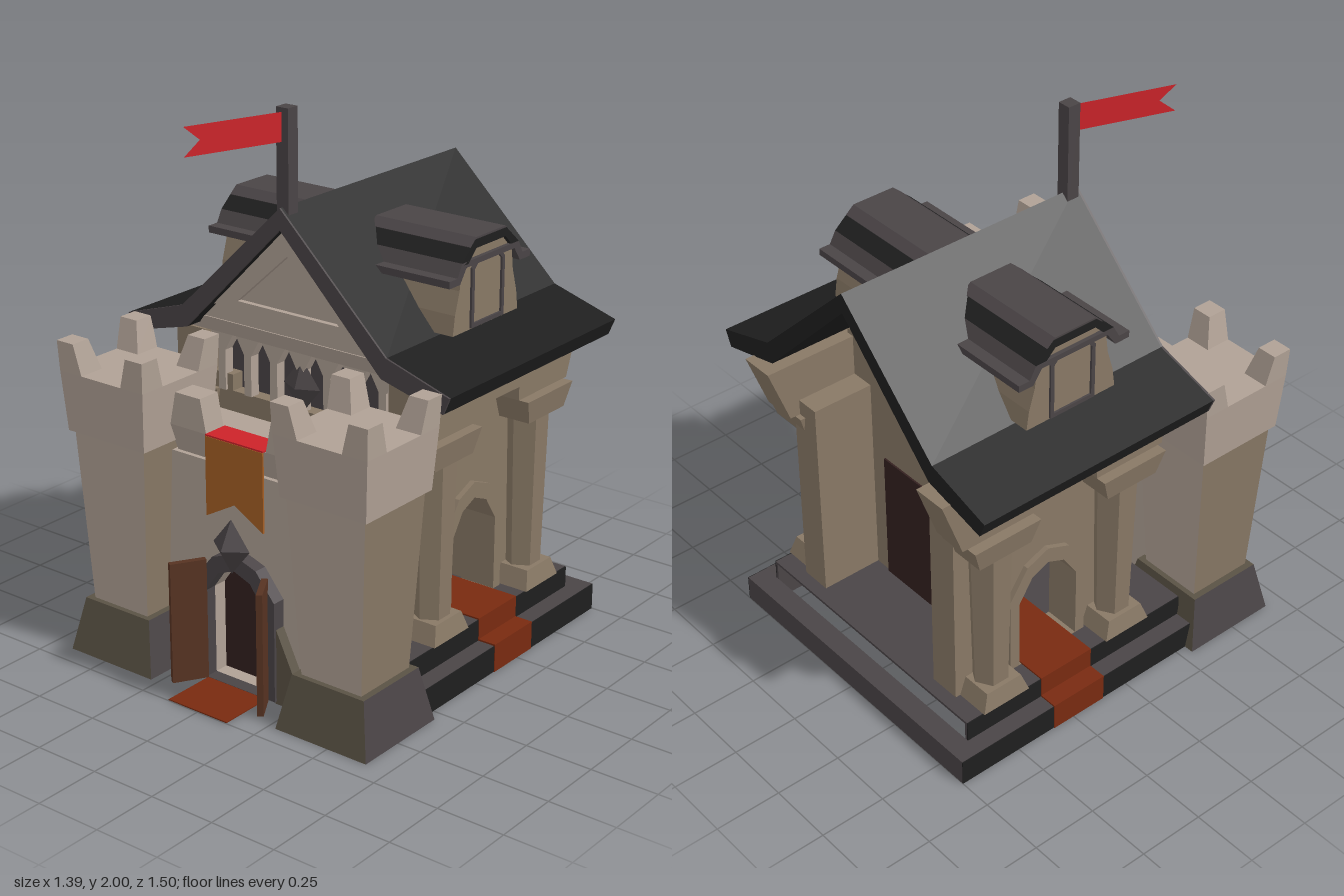
import * as THREE from 'three';

const mat = (name, color) => {
  const m = new THREE.MeshStandardMaterial({ color });
  m.name = name;
  return m;
};

export function createModel() {
  const M = {
    stone: mat('light stone', 0xb0a195),
    beige: mat('beige stone', 0x887865),
    base: mat('dark base stone', 0x5a5244),
    grey: mat('grey trim', 0x4a4446),
    roof: mat('roof black', 0x1e1e1e),
    red: mat('flag red', 0xcc2329),
    wood: mat('door wood', 0x573322),
    dark: mat('dark door', 0x33201f),
    carpet: mat('carpet rust', 0x782a10),
    orange: mat('banner orange', 0xa55f25),
  };
  M.red.side = THREE.DoubleSide;

  const model = new THREE.Group();
  model.name = 'gatehouse';
  const add = (name, geo, m, x = 0, y = 0, z = 0) => {
    const mesh = new THREE.Mesh(geo, m);
    mesh.name = name;
    mesh.position.set(x, y, z);
    model.add(mesh);
    return mesh;
  };
  // Box given by its limits
  const box = (name, m, x0, x1, y0, y1, z0, z1) =>
    add(name, new THREE.BoxGeometry(x1 - x0, y1 - y0, z1 - z0), m, (x0 + x1) / 2, (y0 + y1) / 2, (z0 + z1) / 2);
  // Box with different bottom and top sizes, standing on y, its top shifted by (dx, dz)
  const taper = (name, m, w0, d0, w1, d1, h, x, y, z, dx = 0, dz = 0) => {
    const g = new THREE.BoxGeometry(1, h, 1).translate(0, h / 2, 0);
    const p = g.attributes.position;
    for (let i = 0; i < p.count; i++) {
      const top = p.getY(i) > h / 2;
      p.setX(i, p.getX(i) * (top ? w1 : w0) + (top ? dx : 0));
      p.setZ(i, p.getZ(i) * (top ? d1 : d0) + (top ? dz : 0));
    }
    g.computeVertexNormals();
    return add(name, g, m, x, y, z);
  };
  const shapeOf = (pts, hole) => {
    const s = new THREE.Shape(pts.map(p => new THREE.Vector2(...p)));
    if (hole) s.holes.push(new THREE.Path(hole.map(p => new THREE.Vector2(...p))));
    return s;
  };
  const extrude = (pts, depth, hole) =>
    new THREE.ExtrudeGeometry(shapeOf(pts, hole), { depth, bevelEnabled: false });
  // (x, y) outline pushed along z
  const extZ = (name, m, pts, z0, z1, hole) => add(name, extrude(pts, z1 - z0, hole), m, 0, 0, z0);
  // (z, y) outline pushed along x on side s
  const extX = (name, m, pts, x0, x1, s, hole) =>
    add(name, extrude(pts, x1 - x0, hole).rotateY(-Math.PI / 2), m, s > 0 ? x1 : -x0, 0, 0);
  // Pointed arch outline centred on c
  const arch = (c, w, y0, y1, y2) => [[c - w, y0], [c + w, y0], [c + w, y1],
    [c + w * 0.55, y1 + (y2 - y1) * 0.75], [c, y2], [c - w * 0.55, y1 + (y2 - y1) * 0.75], [c - w, y1]];

  // Stepped platform: hollow lower ring, floor slab open at the back
  box('lowerStepBack', M.grey, -0.62, 0.62, 0, 0.1, -0.75, -0.67);
  box('lowerStepFront', M.grey, -0.62, 0.62, 0.01, 0.1, 0.3, 0.42);
  box('floor', M.grey, -0.55, 0.55, 0.17, 0.18, -0.67, 0.32);
  box('upperStepFront', M.grey, -0.55, 0.55, 0.1, 0.17, 0.3, 0.32);
  add('platformUnderside', new THREE.PlaneGeometry(1.24, 1.17).rotateX(Math.PI / 2), M.grey, 0, 0.001, -0.165);
  for (const s of [1, -1]) {
    const sideBox = (name, m, xa, xb, ...rest) =>
      box(name, m, Math.min(s * xa, s * xb), Math.max(s * xa, s * xb), ...rest);
    sideBox('lowerStepSide', M.grey, 0.55, 0.62, 0, 0.1, -0.67, 0.3);
    sideBox('upperStepSide', M.grey, 0.54, 0.55, 0.09, 0.17, -0.67, 0.3);
    // Dark risers on either side of the carpet
    for (const [z0, z1] of [[-0.67, -0.34], [-0.11, 0.32]])
      sideBox('upperRiser', M.roof, 0.55, 0.554, 0.1, 0.179, z0, z1);
    for (const [z0, z1] of [[-0.75, -0.34], [-0.11, 0.42]])
      sideBox('lowerRiser', M.roof, 0.62, 0.623, 0, 0.099, z0, z1);
    // Carpet running down the steps
    sideBox('carpetLowerRiser', M.carpet, 0.62, 0.626, 0, 0.106, -0.34, -0.11);
    sideBox('carpetTread', M.carpet, 0.55, 0.62, 0.1, 0.106, -0.34, -0.11);
    sideBox('carpetUpperRiser', M.carpet, 0.55, 0.556, 0.106, 0.186, -0.34, -0.11);
  }
  box('hallCarpet', M.carpet, -0.55, 0.55, 0.18, 0.186, -0.34, -0.11);

  // House walls, columns and side entablatures
  for (const s of [1, -1]) {
    const opening = arch(-0.22, 0.13, 0.181, 0.46, 0.58);
    extX('sideWall', M.beige, [[0.18, 0.18], [-0.62, 0.18], [-0.62, 0.98], [0.18, 0.98]], 0.31, 0.43, s, opening);
    extX('archTrim', M.beige, arch(-0.22, 0.17, 0.18, 0.49, 0.64), 0.43, 0.45, s, opening);
    extX('sideEntablature', M.beige, [[0.22, 0.92], [-0.08, 0.92], [-0.08, 0.97], [-0.36, 0.97], [-0.36, 0.92],
      [-0.66, 0.92], [-0.74, 1.14], [0.22, 1.14]], 0.4, 0.53, s);
    for (const z of [0.06, -0.5]) {
      taper('columnBase', M.beige, 0.18, 0.2, 0.15, 0.15, 0.07, s * 0.47, 0.18, z);
      const shaft = new THREE.CylinderGeometry(0.08, 0.066, 0.6, 6).toNonIndexed();
      shaft.computeVertexNormals();
      add('columnShaft', shaft, M.beige, s * 0.47, 0.53, z);
      taper('columnCapital', M.beige, 0.17, 0.22, 0.2, 0.28, 0.09, s * 0.47, 0.83, z);
    }
  }
  box('frontHouseWall', M.beige, -0.43, 0.43, 0.18, 0.92, 0.13, 0.18);
  box('backWall', M.beige, -0.43, 0.43, 0.18, 1.16, -0.38, -0.36);
  box('backDoor', M.dark, -0.24, 0.24, 0.18, 0.7, -0.387, -0.38);

  // Arcade under the pediment
  box('arcadeBack', M.grey, -0.42, 0.42, 0.92, 1.14, 0.11, 0.13);
  for (let i = -4; i <= 4; i++) {
    const x = i * 0.117;
    box('arcadePost', M.stone, x - 0.016, x + 0.016, 0.92, 1.08, 0.15, 0.19);
    extZ('arcadeSpandrel', M.stone, [[x - 0.056, 1.14], [x - 0.016, 1.07], [x + 0.016, 1.07], [x + 0.056, 1.14]], 0.15, 0.19);
  }
  const octa = (name, y, z, sx, sy, sz) =>
    add(name, new THREE.OctahedronGeometry(1).scale(sx, sy, sz), M.grey, 0, y, z);
  octa('arcadeGem', 1.01, 0.18, 0.08, 0.1, 0.04);

  // Pediment
  taper('frontCornice', M.stone, 1.06, 0.1, 1.1, 0.16, 0.06, 0, 1.14, 0.16);
  taper('pedimentBase', M.stone, 0.8, 0.1, 0.72, 0.16, 0.08, 0, 1.2, 0.16);
  extZ('pediment', M.stone, [[-0.41, 1.2], [0.41, 1.2], [0, 1.6]], 0.16, 0.235);
  extZ('pedimentTrim', M.stone, [[-0.34, 1.26], [0.34, 1.26], [0, 1.59]], 0.235, 0.255, [[-0.22, 1.29], [0.22, 1.29], [0, 1.49]]);

  // Main roof with its front fascia
  const half = [[0.695, 1.16], [0.44, 1.24], [0, 1.665]], under = [[0.67, 1.1], [0.42, 1.165], [0, 1.59]];
  const flip = a => a.slice(0, 2).map(([x, y]) => [-x, y]);
  const roofLine = [...half, ...flip(half).reverse(), ...flip(under), ...under.slice().reverse()];
  extZ('roof', M.roof, roofLine, -0.705, 0.284);
  extZ('roofFascia', M.grey, roofLine, 0.284, 0.292);

  // Dormers, symmetrical about c; each layer starts inside the roof slab
  const c = -0.18;
  const sym = pts => [...pts.map(([d, y]) => [c + d, y]), ...pts.slice().reverse().map(([d, y]) => [c - d, y])];
  const shell = (outer, inner) => sym(outer).concat(sym(inner).reverse());
  const cheek = [[0.19, 1.25], [0.18, 1.32], [0.156, 1.4], [0.147, 1.47], [0.09, 1.54]];
  const depth = [0.345, 0.275, 0.195, 0.125];
  for (const s of [1, -1]) {
    depth.forEach((x, i) => extX('dormerBody', M.beige, sym([cheek[i], cheek[i + 1]]), x, 0.505, s));
    extX('dormerEaves', M.grey, shell([[0.235, 1.455], [0.19, 1.455], [0.165, 1.5]],
      [[0.235, 1.43], [0.175, 1.43], [0.14, 1.48]]), 0.17, 0.52, s);
    extX('dormerHood', M.roof, shell([[0.165, 1.5], [0.09, 1.565]], [[0.14, 1.48], [0.085, 1.535]]), 0.112, 0.52, s);
    extX('dormerRidge', M.grey, shell([[0.118, 1.544], [0.085, 1.572]], [[0.115, 1.54], [0.083, 1.564]]), 0.105, 0.518, s);
    const pane = [[-0.26, 1.27], [-0.1, 1.27], [-0.1, 1.46], [-0.125, 1.485], [-0.235, 1.485], [-0.26, 1.46]];
    const frame = [[-0.275, 1.255], [-0.085, 1.255], [-0.085, 1.465], [-0.12, 1.5], [-0.24, 1.5], [-0.275, 1.465]];
    extX('dormerWindowFrame', M.grey, frame, 0.505, 0.513, s, pane);
  }

  // Flagpole and swallow-tailed flag
  box('flagpole', M.grey, -0.025, 0.025, 1.6, 2, 0.225, 0.275);
  const flag = add('flag', new THREE.ShapeGeometry(shapeOf([[0, 1.885], [0.37, 1.885], [0.31, 1.935], [0.37, 1.985], [0, 1.985]])),
    M.red, 0, 0, 0.27);
  flag.rotation.y = -Math.PI / 2 - 0.33;

  // Front towers; side faces differ in colour from the front and back
  const sided = (side, front) => [side, side, front, front, front, front];
  for (const s of [1, -1]) {
    const x = s * 0.47, z = 0.485;
    taper('towerBase', sided(M.grey, M.base), 0.38, 0.38, 0.3, 0.3, 0.2, x, 0, z);
    taper('towerShaft', sided(M.beige, M.stone), 0.25, 0.26, 0.32, 0.32, 0.65, x, 0.2, z);
    taper('towerParapet', M.stone, 0.35, 0.35, 0.38, 0.38, 0.22, x, 0.84, z);
    // Corner merlons, sloped on the inside only
    for (const i of [1, -1]) for (const j of [1, -1])
      taper('towerMerlon', M.stone, 0.1, 0.1, 0.075, 0.075, 0.11, x + i * 0.14, 1.06, z + j * 0.14, i * 0.0175, j * 0.0175);
  }

  // Gate wall between the towers, with an overhanging parapet
  const gate = arch(0, 0.13, 0.011, 0.34, 0.45);
  extZ('gateWall', M.stone, [[-0.35, 0.01], [0.35, 0.01], [0.35, 0.8], [-0.35, 0.8]], 0.37, 0.5, gate);
  extX('gateParapet', M.stone, [[0.36, 0.77], [0.47, 0.77], [0.53, 0.91], [0.31, 0.91]], -0.3, 0.3, 1);
  for (const s of [1, -1]) {
    taper('gateMerlon', M.stone, 0.16, 0.09, 0.11, 0.09, 0.12, s * 0.21, 0.91, 0.485);
    // Wedge buttress beside the door
    extZ('gateButtress', M.base, [[s * 0.17, 0], [s * 0.31, 0], [s * 0.17, 0.29]], 0.5, 0.54);
    // Open door leaf
    const leaf = add('doorLeaf', new THREE.BoxGeometry(0.022, 0.45, 0.13), M.wood, s * 0.165, 0.235, 0.6);
    leaf.rotation.y = s * 0.55;
  }
  box('gatePassage', M.dark, -0.13, 0.13, 0.01, 0.45, 0.44, 0.448);
  extZ('gateArch', M.grey, arch(0, 0.175, 0.01, 0.38, 0.51), 0.5, 0.55, gate);
  octa('gateGem', 0.545, 0.56, 0.08, 0.1, 0.055);
  box('frontCarpet', M.carpet, -0.13, 0.13, 0.002, 0.006, 0.44, 0.75);

  // Banner draped over the parapet
  box('bannerTop', M.red, -0.125, 0.125, 0.91, 0.916, 0.44, 0.54);
  extZ('banner', M.orange, [[-0.125, 0.91], [-0.125, 0.62], [0, 0.69], [0.125, 0.62], [0.125, 0.91]], 0.535, 0.542);

  return model;
}
